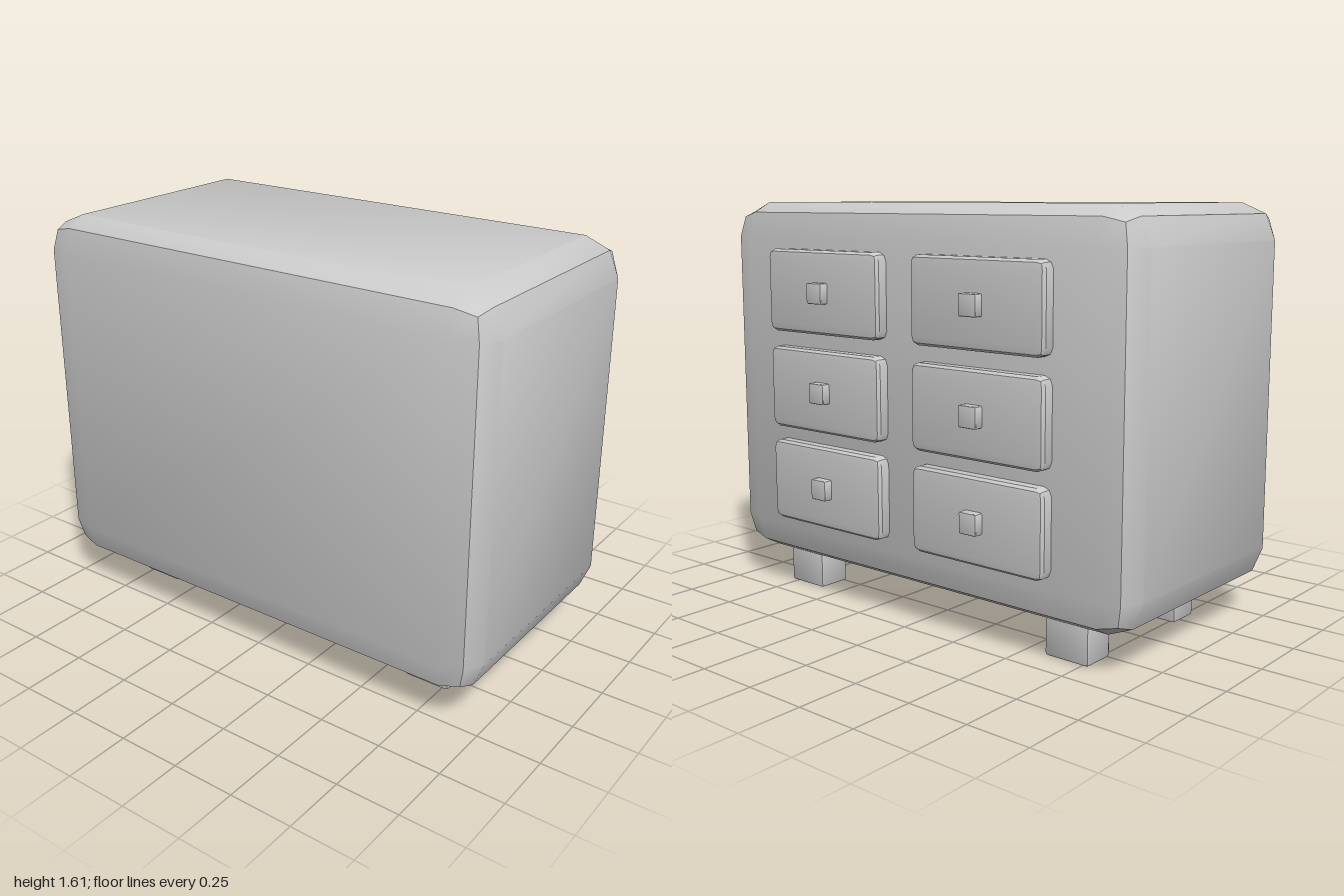
import * as THREE from 'three';
import { RoundedBoxGeometry } from 'three/addons/geometries/RoundedBoxGeometry.js';
import { toCreasedNormals } from 'three/addons/utils/BufferGeometryUtils.js';

const material = new THREE.MeshStandardMaterial({ color: 0xcccccc });

// Two-step bevelled box between two corners; squash narrows the bevel along x.
// The middle of each bevel stays a crisp edge, the rest is smooth.
function bevelBox(name, min, max, radius, squash = 1) {
  const [w, h, d] = max.map((v, i) => v - min[i]);
  let geometry = new RoundedBoxGeometry(w / squash, h, d, 1, radius);
  geometry.scale(squash, 1, 1);
  geometry = toCreasedNormals(geometry, 0.6);
  const mesh = new THREE.Mesh(geometry, material);
  mesh.name = name;
  mesh.position.set(...max.map((v, i) => (v + min[i]) / 2));
  return mesh;
}

export function createModel() {
  const model = new THREE.Group();
  model.name = 'chestOfDrawers';

  // Cabinet
  model.add(bevelBox('cabinet', [-0.58, 0.143, -1], [0.49, 1.61, 1], 0.14, 0.77));

  // Three rows of two drawers, each with a square knob
  for (const y of [0.493, 0.876, 1.265]) {
    for (const z of [-0.387, 0.387]) {
      const drawer = new THREE.Group();
      drawer.name = 'drawer';
      drawer.add(
        bevelBox('drawerFront', [0.43, y - 0.163, z - 0.305], [0.543, y + 0.163, z + 0.305], 0.033, 0.45),
        bevelBox('knob', [0.5, y - 0.04, z - 0.04], [0.578, y + 0.04, z + 0.04], 0.006, 0.5)
      );
      model.add(drawer);
    }
  }

  // Four block feet
  for (const x of [-0.265, 0.315]) {
    for (const z of [-0.683, 0.683]) {
      model.add(bevelBox('foot', [x - 0.07, 0, z - 0.095], [x + 0.07, 0.2, z + 0.095], 0.012));
    }
  }
  return model;
}
